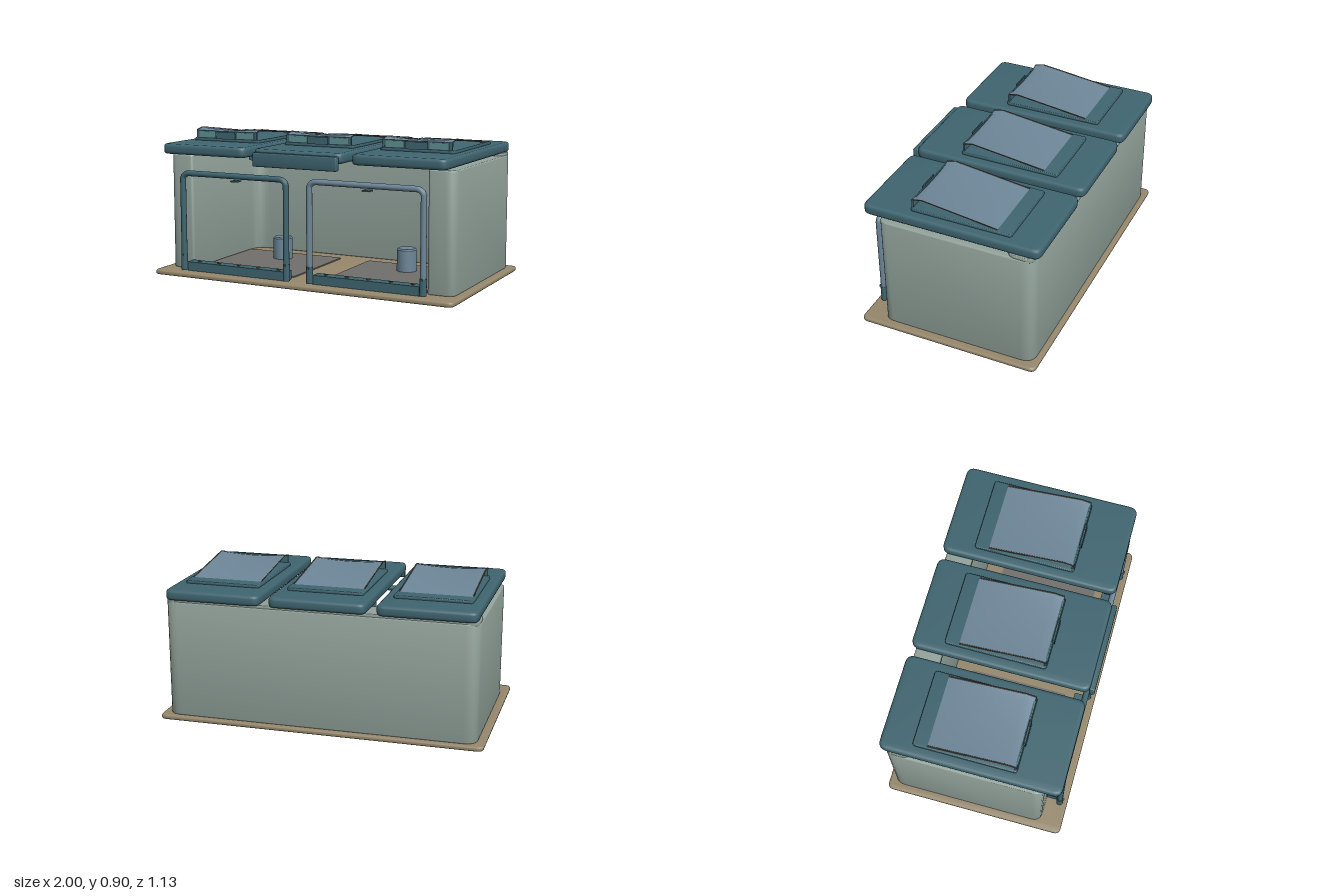
import * as THREE from 'three';
import { toCreasedNormals } from 'three/addons/utils/BufferGeometryUtils.js';

const paint = (name, color) => {
  const m = new THREE.MeshStandardMaterial({ color });
  m.name = name;
  return m;
};

export function createModel() {
  const root = new THREE.Group();
  root.name = 'triple lid bin shelter';
  const teal = paint('dark teal', 0x3f6570);
  const lightTeal = paint('light teal', 0x5f9092);
  const wall = paint('sage grey', 0x93a39c);
  const tan = paint('tan', 0x95876c);
  const slate = paint('slate blue', 0x6e8799);
  const grey = paint('floor grey', 0x706f6b);
  const brown = paint('edge brown', 0x6b5a48);
  const sheetBlue = paint('sheet blue', 0x6e8799);
  sheetBlue.side = THREE.DoubleSide;

  const add = (parent, name, geo, mat, x = 0, y = 0, z = 0) => {
    const m = new THREE.Mesh(geo, mat);
    m.name = name;
    m.position.set(x, y, z);
    parent.add(m);
    return m;
  };
  const box = (parent, name, mat, w, h, d, x, y, z) =>
    add(parent, name, new THREE.BoxGeometry(w, h, d), mat, x, y, z);

  // Outline with rounded corners; each point is [x, z, radius]
  const outline = (pts) => {
    const s = new THREE.Shape();
    pts.forEach(([x, z, r], i) => {
      const p = new THREE.Vector2(x, -z);
      const near = (q) => {
        const v = new THREE.Vector2(q[0], -q[1]).sub(p);
        return v.setLength(r).add(p);
      };
      const a = near(pts[(i + pts.length - 1) % pts.length]);
      const b = near(pts[(i + 1) % pts.length]);
      if (i) s.lineTo(a.x, a.y); else s.moveTo(a.x, a.y);
      s.quadraticCurveTo(p.x, p.y, b.x, b.y);
    });
    s.closePath();
    return s;
  };
  // Upright extrusion standing on y = 0 with softened edges
  const slabOf = (shape, h, bevel) => {
    const g = new THREE.ExtrudeGeometry(shape, {
      depth: h - 2 * bevel, bevelEnabled: bevel > 0, bevelThickness: bevel,
      bevelSize: bevel, bevelOffset: -bevel, bevelSegments: 3, curveSegments: 6,
    });
    g.translate(0, 0, bevel);
    g.rotateX(-Math.PI / 2);
    return toCreasedNormals(g, 0.6);
  };
  const slab = (w, d, h, r, bevel) => {
    const x = w / 2, z = d / 2;
    return slabOf(outline([[-x, z, r], [x, z, r], [x, -z, r], [-x, -z, r]]), h, bevel);
  };

  // Ground plate
  add(root, 'basePlate', slab(2, 1.13, 0.03, 0.04, 0.012), tan);

  // Thick U-shaped wall, open at the front, with a raised rear ledge
  add(root, 'wallShell', slabOf(outline([
    [-0.955, 0.43, 0.06], [-0.79, 0.43, 0.02], [-0.79, -0.37, 0.09], [0.79, -0.37, 0.09],
    [0.79, 0.43, 0.02], [0.955, 0.43, 0.06], [0.955, -0.535, 0.08], [-0.955, -0.535, 0.08],
  ]), 0.72, 0.008), wall, 0, 0.028, 0);
  add(root, 'rearLedge', slab(1.9, 0.165, 0.03, 0.06, 0.005), wall, 0, 0.735, -0.449);

  // Ribbon cross-section along the length of a vent hood: [z, y]
  const profile = [[0.25, 0.888], [0.19, 0.901], [-0.28, 0.841]];
  const ventHood = () => {
    const g = new THREE.PlaneGeometry(0.44, 1, 10, 2);
    const p = g.attributes.position;
    for (let i = 0; i < p.count; i++) {
      const [z, y] = profile[Math.round((0.5 - p.getY(i)) * 2)];
      const x = p.getX(i);
      const sag = 0.22 * (y - 0.841) * (1 - (x / 0.22) ** 2);
      // Front edge is first in the list, so the row order is mirrored in x
      p.setXYZ(i, -x, y - sag, z);
    }
    return toCreasedNormals(g, 0.4);
  };

  // Three lids, each with a raised sloping vent
  [-0.65, 0, 0.645].forEach((cx, i) => {
    const lid = new THREE.Group();
    lid.name = ['rightLid', 'middleLid', 'leftLid'][i];
    lid.position.x = cx;
    root.add(lid);
    add(lid, 'lidSlab', slab(0.59, 1.095, 0.063, 0.05, 0.018), teal, 0, 0.76, -0.013);
    add(lid, 'ventPlate', slab(0.47, 0.625, 0.02, 0.02, 0.005), teal, 0, 0.82, -0.056);
    add(lid, 'ventHood', ventHood(), sheetBlue);
    for (const s of [-1, 1]) {
      const path = new THREE.CurvePath();
      const pts = profile.map(([z, y]) => new THREE.Vector3(s * 0.219, y, z));
      path.add(new THREE.LineCurve3(pts[0], pts[1]));
      path.add(new THREE.LineCurve3(pts[1], pts[2]));
      add(lid, 'hoodEdge', new THREE.TubeGeometry(path, 16, 0.004, 4), brown);
      box(lid, 'ventPost', teal, 0.015, 0.05, 0.012, s * 0.212, 0.863, 0.246);
      box(lid, 'ventWindow', lightTeal, 0.12, 0.038, 0.006, s * 0.14, 0.862, 0.251);
    }
    box(lid, 'ventFront', teal, 0.42, 0.05, 0.008, 0, 0.862, 0.245);
    box(lid, 'ventLatch', teal, 0.14, 0.045, 0.006, 0, 0.86, 0.262);
    box(lid, 'latchLink', teal, 0.1, 0.008, 0.02, 0, 0.842, 0.255);
  });
  // Hanging lip on the middle lid
  add(root, 'middleLidLip', slab(0.56, 0.035, 0.085, 0.012, 0.008), teal, 0, 0.72, 0.548);

  // Hinge brackets with round caps, under the outer lids
  for (const s of [-1, 1]) {
    box(root, 'hingeBracket', teal, 0.2, 0.105, 0.18, s * 0.65, 0.705, -0.28);
    const cap = add(root, 'hingeCap', new THREE.CylinderGeometry(0.034, 0.034, 0.008, 24),
      lightTeal, s * 0.65, 0.7, -0.188);
    cap.rotation.x = Math.PI / 2;
  }

  // Two front gates, with floor panel and post behind each
  const line = (a, b) => new THREE.LineCurve3(a, b);
  for (const s of [-1, 1]) {
    const gate = new THREE.Group();
    gate.name = s < 0 ? 'rightGate' : 'leftGate';
    gate.position.x = s * 0.44;
    root.add(gate);

    const pts = [[-0.362, 0.05], [-0.362, 0.615], [-0.325, 0.647],
      [0.325, 0.647], [0.362, 0.615], [0.362, 0.05]]
      .map(([x, y]) => new THREE.Vector3(x, y, 0.516));
    const path = new THREE.CurvePath();
    for (let i = 0; i < 5; i++) {
      // Chamfered bends are softened with short curves
      if (i === 1 || i === 3) {
        const c = i === 1 ? new THREE.Vector3(-0.355, 0.64, 0.516) : new THREE.Vector3(0.355, 0.64, 0.516);
        path.add(new THREE.QuadraticBezierCurve3(pts[i], c, pts[i + 1]));
      } else path.add(line(pts[i], pts[i + 1]));
    }
    add(gate, 'gateTube', new THREE.TubeGeometry(path, 120, 0.018, 12), s < 0 ? teal : slate);
    for (const t of [-1, 1]) {
      add(gate, 'gateSocket', new THREE.CylinderGeometry(0.021, 0.021, 0.1, 16), teal, t * 0.362, 0.09, 0.516);
      box(gate, 'socketPin', teal, 0.012, 0.012, 0.03, t * 0.362, 0.135, 0.528);
    }
    box(gate, 'gateSill', teal, 0.7, 0.055, 0.07, 0, 0.06, 0.466);
    for (let i = -2; i <= 2; i++)
      add(gate, 'sillBolt', new THREE.CylinderGeometry(0.011, 0.011, 0.006, 10), brown, i * 0.14, 0.09, 0.466);
    box(gate, 'gateTab', teal, 0.05, 0.008, 0.05, 0, 0.613, 0.487);

    add(root, 'floorPanel', slab(0.68, 0.64, 0.008, 0.02, 0), grey, s * 0.44, 0.029, 0.06);
    add(root, 'floorPost', toCreasedNormals(new THREE.LatheGeometry(
      [[0, 0], [0.062, 0], [0.062, 0.138], [0.054, 0.146], [0, 0.146]]
        .map(([x, y]) => new THREE.Vector2(x, y)), 24), 0.6), slate, s * 0.44, 0.033, -0.09);
  }
  return root;
}
